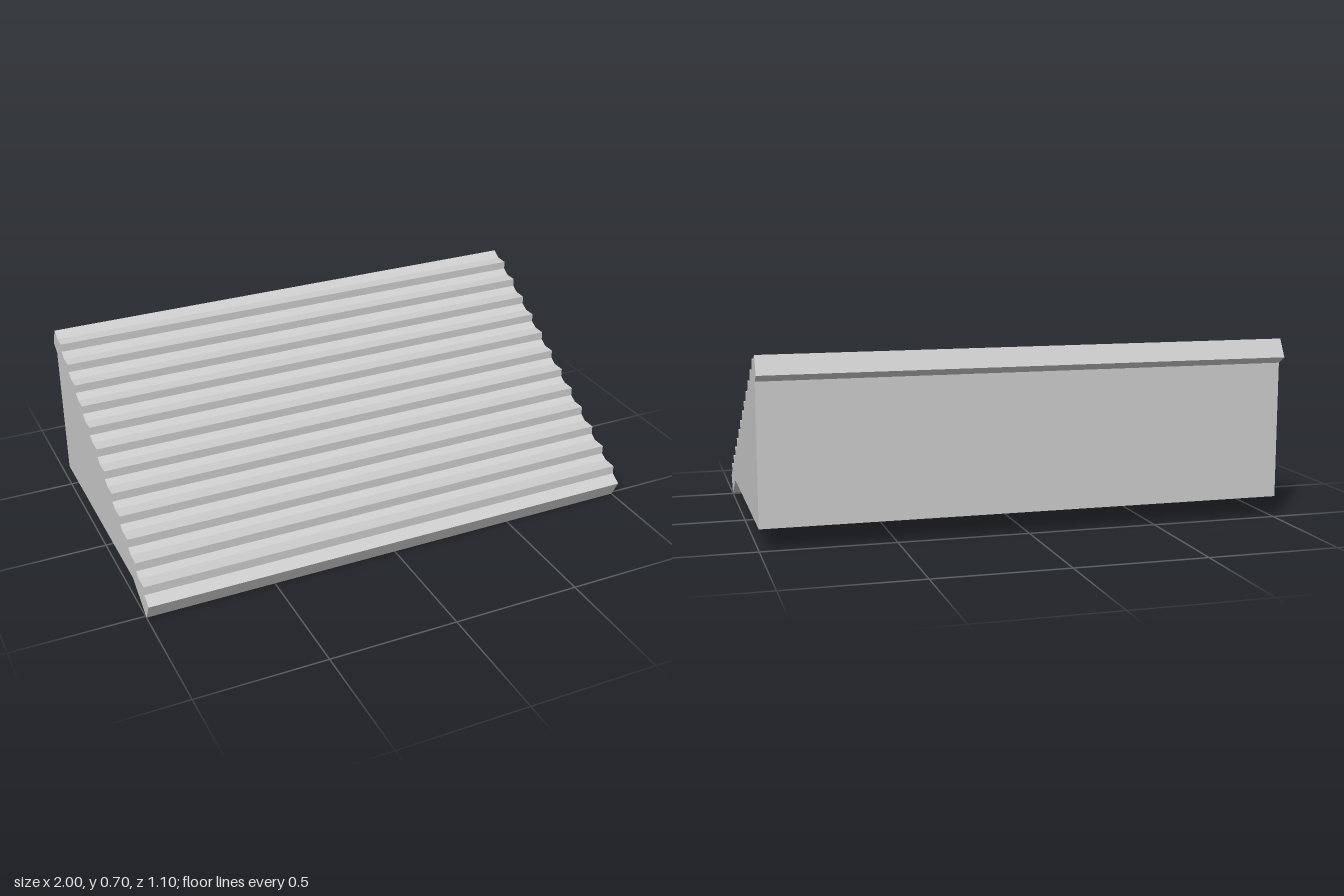
import * as THREE from 'three';

const WIDTH = 2, STEPS = 12, FRONT = 0.505, BASE = 0.083;
const RUN = (2 * FRONT) / STEPS, RISE = 0.05, FIRST_TOP = 0.13;

// Extrude a side profile of [z, y] points across the full width
function acrossWidth(name, points, material) {
  const shape = new THREE.Shape(points.map(([z, y]) => new THREE.Vector2(z, y)));
  const geometry = new THREE.ExtrudeGeometry(shape, { depth: WIDTH, bevelEnabled: false });
  geometry.rotateY(-Math.PI / 2).translate(WIDTH / 2, 0, 0);
  const mesh = new THREE.Mesh(geometry, material);
  mesh.name = name;
  return mesh;
}

export function createModel() {
  const group = new THREE.Group();
  group.name = 'staircase';
  const concrete = new THREE.MeshStandardMaterial({ color: 0xcccccc });
  concrete.name = 'light grey';

  // Solid steps with a flat underside and an upright back
  const profile = [[-FRONT, BASE], [FRONT, BASE]];
  for (let i = 0; i < STEPS; i++) {
    const z = FRONT - i * RUN, top = FIRST_TOP + i * RISE;
    profile.push([z, top], [z - RUN, top]);
  }
  group.add(acrossWidth('steps', profile, concrete));

  // Sloping slab that fills the step corners and overhangs both ends
  const slab = [[0.51, 0], [0.548, 0.07], [-0.51, 0.702], [-0.548, 0.634]];
  // The outline runs clockwise or anticlockwise; Shape corrects it
  group.add(acrossWidth('slopingSlab', slab, concrete));

  return group;
}
